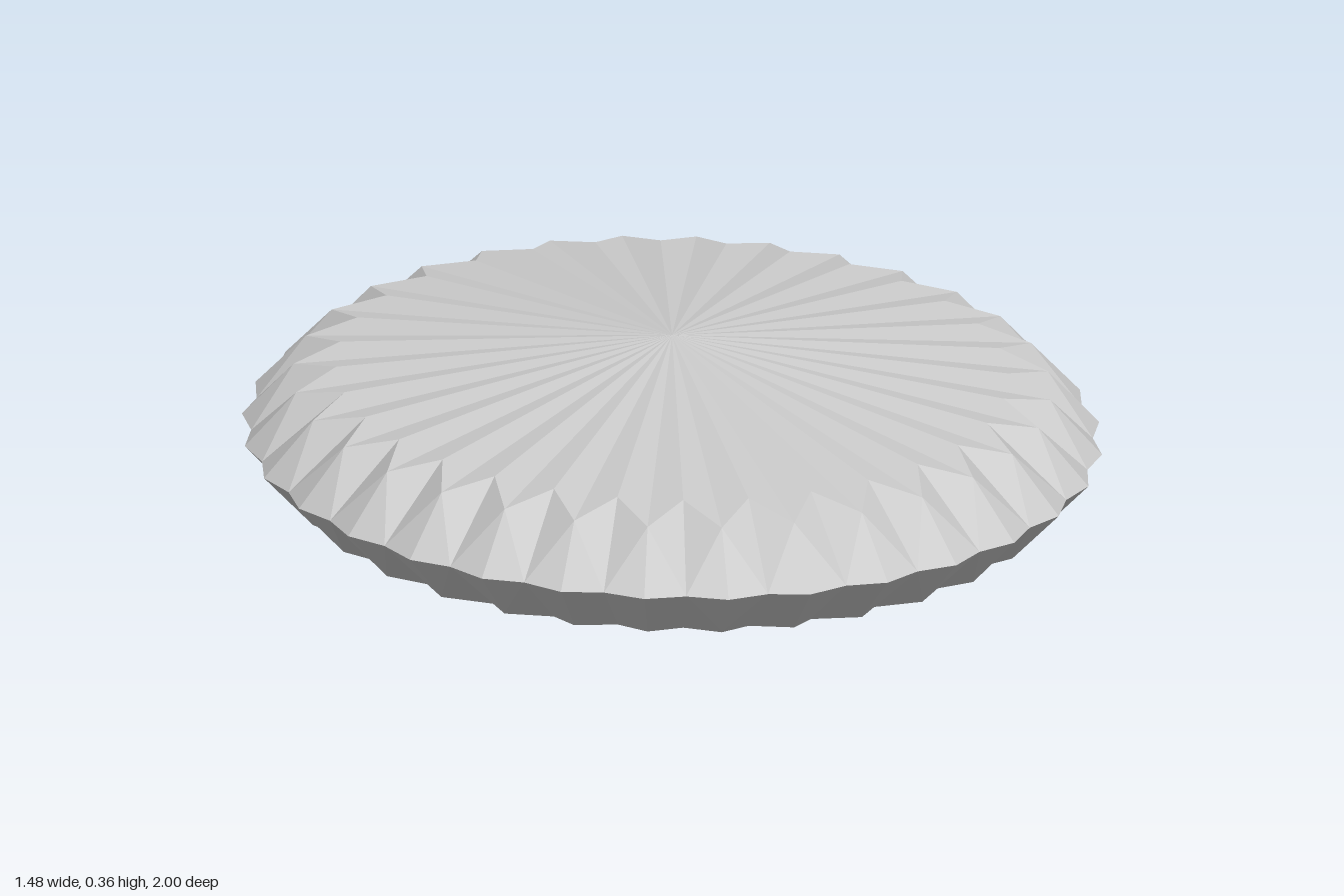
import * as THREE from 'three';

const FLUTES = 32;
const STEPS = FLUTES * 2;   // a ridge and a groove per flute
const WIDTH = 0.74;         // x radius relative to z radius
const MID = 0.178;          // height of the rim

// Rings alternate between ridge (even step) and groove (odd step): [radius, height above rim]
const RIM = [[1, 0], [0.977, 0]];
const SHOULDER = [[0.88, 0.094], [0.78, 0.115]];
const APEX = [0, MID, 0];

function point(ring, i) {
  const [r, h] = ring[i % 2];
  const a = ((i % STEPS) / STEPS) * Math.PI * 2;
  return [r * WIDTH * Math.sin(a), h, r * Math.cos(a)];
}

// Triangles of the upper half, or of the lower half when sign is -1
function halfGeometry(sign, addFaces) {
  const positions = [];
  const tri = (a, b, c) => {
    const corners = sign > 0 ? [a, b, c] : [a, c, b];
    for (const [x, y, z] of corners) positions.push(x, MID + sign * y, z);
  };
  for (let i = 0; i < STEPS; i++) addFaces(tri, i);
  const geometry = new THREE.BufferGeometry();
  geometry.setAttribute('position', new THREE.Float32BufferAttribute(positions, 3));
  geometry.computeVertexNormals();
  return geometry;
}

// Shallow cone with a zigzag edge
function coneFaces(tri, i) {
  tri(APEX, point(SHOULDER, i), point(SHOULDER, i + 1));
}

// Fluted band between shoulder and rim, split symmetrically about each ridge
function fluteFaces(tri, i) {
  const s0 = point(SHOULDER, i), s1 = point(SHOULDER, i + 1);
  const r0 = point(RIM, i), r1 = point(RIM, i + 1);
  if (i % 2 === 0) {
    tri(s0, r0, r1);
    tri(s0, r1, s1);
  } else {
    tri(s0, r0, s1);
    tri(s1, r0, r1);
  }
}

export function createModel() {
  const group = new THREE.Group();
  group.name = 'flutedOvalDisc';
  const material = new THREE.MeshStandardMaterial({ color: 0xcccccc, flatShading: true });
  const add = (name, sign, faces) => {
    const mesh = new THREE.Mesh(halfGeometry(sign, faces), material);
    mesh.name = name;
    group.add(mesh);
  };
  add('topCone', 1, coneFaces);
  add('topFlutes', 1, fluteFaces);
  add('bottomCone', -1, coneFaces);
  add('bottomFlutes', -1, fluteFaces);
  return group;
}
